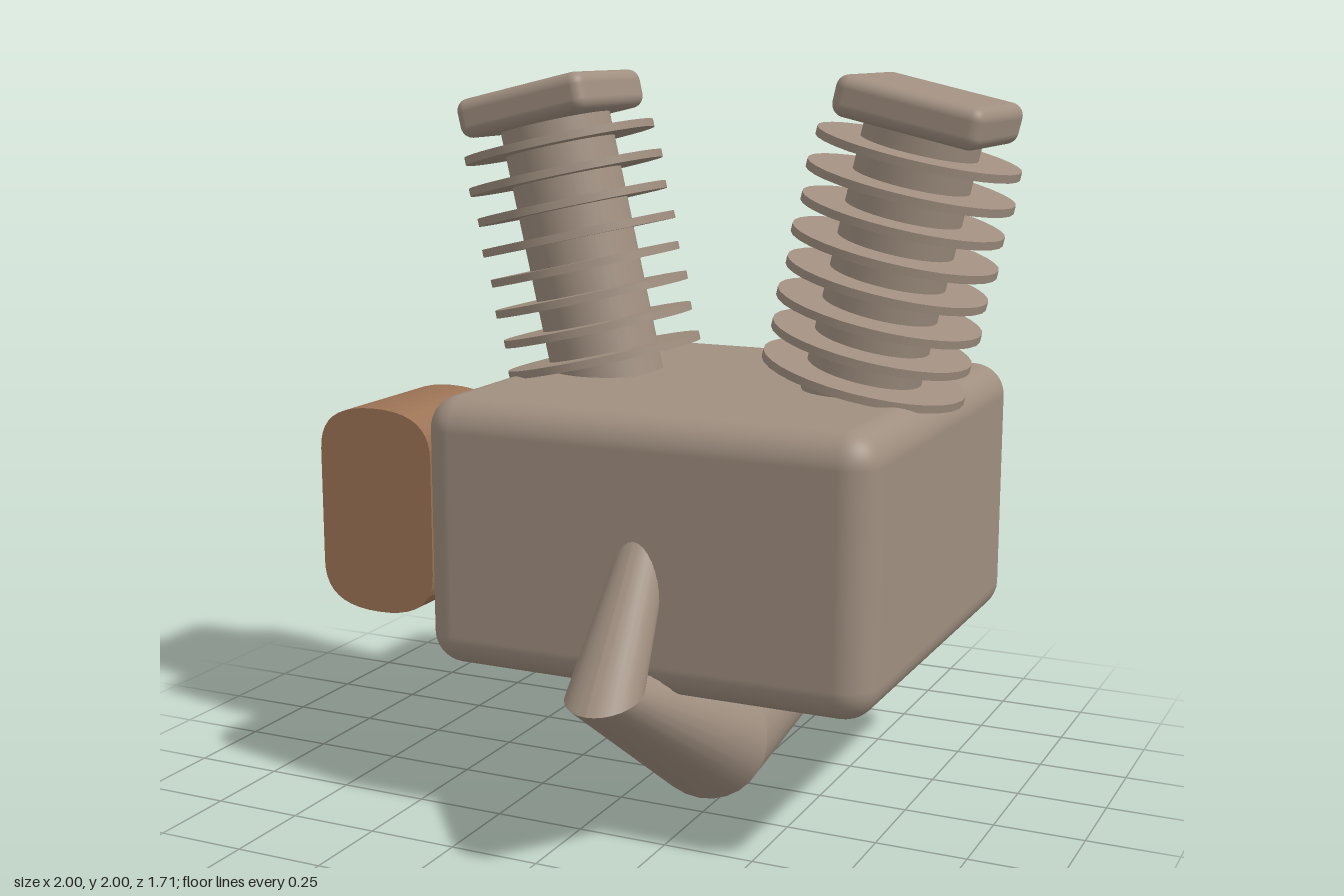
import * as THREE from 'three';
import { RoundedBoxGeometry } from 'three/addons/geometries/RoundedBoxGeometry.js';

const CX = 0.2, CZ = -0.037; // engine centre line
const TILT = THREE.MathUtils.degToRad(13);

export function createModel() {
  const model = new THREE.Group();
  model.name = 'vTwinEngine';

  const metal = new THREE.MeshStandardMaterial({ color: 0xa08f80 });
  metal.name = 'warmGreyMetal';
  const copper = new THREE.MeshStandardMaterial({ color: 0x9c7355 });
  copper.name = 'brownMetal';

  const add = (parent, name, geometry, material, x = 0, y = 0, z = 0) => {
    const mesh = new THREE.Mesh(geometry, material);
    mesh.name = name;
    mesh.position.set(x, y, z);
    parent.add(mesh);
    return mesh;
  };

  // Crankcase
  add(model, 'crankcase', new RoundedBoxGeometry(1.262, 0.737, 1.235, 5, 0.09), metal, CX, 0.797, CZ);

  // Two finned cylinders leaning outwards in a V
  for (const side of [-1, 1]) {
    const bank = new THREE.Group();
    bank.name = side < 0 ? 'rightCylinder' : 'leftCylinder';
    bank.position.set(CX + side * 0.39, 1.205, CZ);
    bank.rotation.z = -side * TILT;
    model.add(bank);
    add(bank, 'barrel', new THREE.CylinderGeometry(0.157, 0.157, 0.76, 32), metal, 0, 0.31, 0);
    for (let i = 0; i < 8; i++) {
      const r = i % 2 ? 0.272 : 0.278;
      add(bank, 'coolingFin', new THREE.CylinderGeometry(r, r, 0.022, 32), metal, 0, i * 0.0875, 0);
    }
    add(bank, 'cylinderHead', new RoundedBoxGeometry(0.405, 0.11, 0.4, 4, 0.035), metal, 0, 0.724, 0);
  }

  // Air filter: soft-cornered upright profile, extruded front to back
  const hx = 0.187, hy = 0.305, sy = 0.17;
  const profile = new THREE.Shape();
  profile.moveTo(hx, -sy);
  profile.lineTo(hx, sy);
  profile.bezierCurveTo(hx, 0.26, 0.13, hy, 0, hy);
  profile.bezierCurveTo(-0.13, hy, -hx, 0.26, -hx, sy);
  profile.lineTo(-hx, -sy);
  profile.bezierCurveTo(-hx, -0.26, -0.13, -hy, 0, -hy);
  profile.bezierCurveTo(0.13, -hy, hx, -0.26, hx, -sy);
  const filter = new THREE.ExtrudeGeometry(profile, { depth: 0.435, bevelEnabled: false, curveSegments: 10 });
  add(model, 'airFilter', filter, copper, -0.813, 0.735, -0.225);

  // Intake pipe between filter and crankcase
  const intake = add(model, 'intakePipe', new THREE.CylinderGeometry(0.086, 0.086, 0.18, 24), copper, -0.53, 0.766, CZ);
  intake.rotation.z = THREE.MathUtils.degToRad(-72);

  // Flywheel cover on the back, with a tapered face and axle end
  const cover = new THREE.Group();
  cover.name = 'flywheelCover';
  cover.position.set(CX, 0.735, -0.65);
  cover.rotation.x = -Math.PI / 2;
  model.add(cover);
  add(cover, 'coverRim', new THREE.CylinderGeometry(0.312, 0.312, 0.12, 32), copper, 0, 0.04, 0);
  add(cover, 'coverTaper', new THREE.CylinderGeometry(0.13, 0.312, 0.06, 32), copper, 0, 0.13, 0);
  add(cover, 'axleEnd', new THREE.CylinderGeometry(0.058, 0.058, 0.04, 24), metal, 0, 0.143, 0);

  // Exhaust: rings given as centre (y, z), half vector to the outer edge (y, z) and half width
  const rings = [
    { y: 0.82, z: 0.51, oy: 0.042, oz: 0.056, w: 0.06 },
    { y: 0.49, z: 0.746, oy: -0.027, oz: 0.108, w: 0.1 },
    { y: 0.178, z: 0.121, oy: -0.175, oz: 0.04, w: 0.187 },
    { y: 0.176, z: -0.497, oy: -0.117, oz: -0.018, w: 0.12 },
    { y: 0.3, z: -0.836, oy: -0.04, oz: -0.019, w: 0.048 },
  ];
  const exhaust = new THREE.Group();
  exhaust.name = 'exhaust';
  model.add(exhaust);
  for (let i = 0; i < rings.length - 1; i++) {
    const last = i === rings.length - 2;
    const g = new THREE.CylinderGeometry(1, 1, 1, 28, 1, !last);
    const p = g.attributes.position;
    for (let k = 0; k < p.count; k++) {
      const r = p.getY(k) > 0 ? rings[i] : rings[i + 1];
      const s = p.getZ(k);
      p.setXYZ(k, p.getX(k) * r.w, r.y + s * r.oy, r.z + s * r.oz);
    }
    g.computeVertexNormals();
    add(exhaust, 'exhaustSection', g, metal, CX, 0, 0);
  }

  return model;
}
